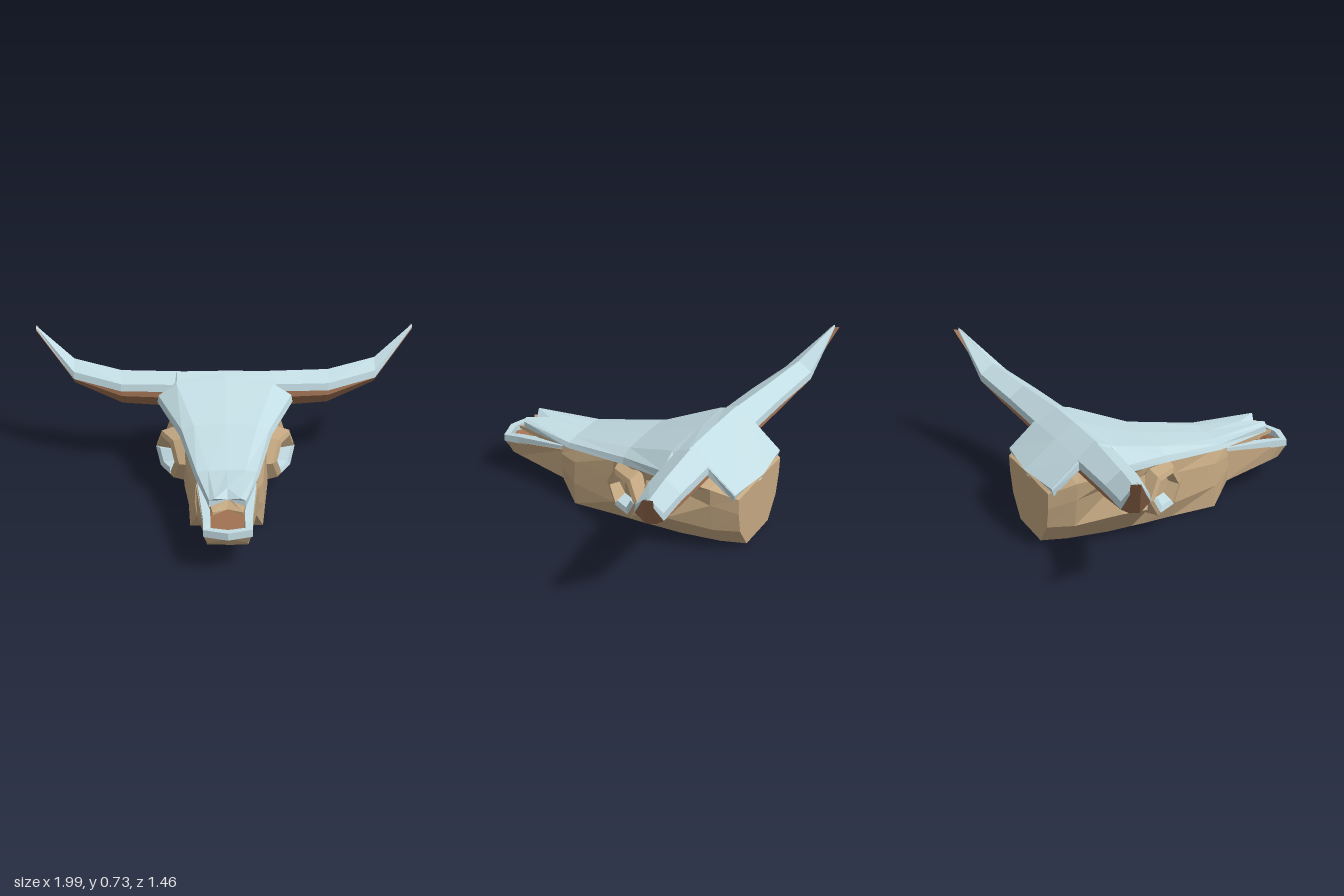
import * as THREE from 'three';

const bone = new THREE.MeshStandardMaterial({ name: 'bone', color: 0xc4a882 });
const horn = new THREE.MeshStandardMaterial({ name: 'horn brown', color: 0x9e7052 });
const snow = new THREE.MeshStandardMaterial({ name: 'pale snow', color: 0xc2dce3 });

// Faceted skin through closed rings of equal length, capped at both ends, facing outwards
function loft(name, rings, material) {
  const tris = [];
  const n = rings[0].length;
  for (let i = 0; i < rings.length - 1; i++) {
    for (let j = 0; j < n; j++) {
      const k = (j + 1) % n;
      const a = rings[i][j], b = rings[i][k], c = rings[i + 1][k], d = rings[i + 1][j];
      tris.push([a, b, c], [a, c, d]);
    }
  }
  const cap = (ring, flip) => {
    const mid = [0, 1, 2].map(q => ring.reduce((s, p) => s + p[q], 0) / n);
    ring.forEach((p, j) => {
      const next = ring[(j + 1) % n];
      tris.push(flip ? [mid, next, p] : [mid, p, next]);
    });
  };
  cap(rings[0], true);
  cap(rings[rings.length - 1], false);
  // Signed volume decides the winding
  const A = new THREE.Vector3(), B = new THREE.Vector3(), C = new THREE.Vector3();
  let volume = 0;
  for (const [a, b, c] of tris) volume += A.set(...a).dot(B.set(...b).cross(C.set(...c)));
  const flat = tris.flatMap(([a, b, c]) => (volume < 0 ? [a, c, b] : [a, b, c])).flat();
  const geometry = new THREE.BufferGeometry();
  geometry.setAttribute('position', new THREE.Float32BufferAttribute(flat, 3));
  geometry.computeVertexNormals();
  const mesh = new THREE.Mesh(geometry, material);
  mesh.name = name;
  return mesh;
}

// Half outline from top centre to bottom centre, mirrored to a full ring at depth z
function section(z, ...half) {
  const right = half.map(([x, y, pz = z]) => [x, y, pz]);
  const left = right.slice(1, -1).reverse().map(([x, y, pz]) => [-x, y, pz]);
  return [...right, ...left];
}

function eyeSocket(side) {
  const group = new THREE.Group();
  group.name = side > 0 ? 'leftEyeSocket' : 'rightEyeSocket';
  // Point on the tilted hexagonal opening
  const point = (angle, r, inset) => {
    const z = -0.125 + r * Math.cos(angle);
    return [side * (0.305 - 0.5 * (z + 0.125) - inset), 0.228 + r * Math.sin(angle), z];
  };
  const hex = (r, inset) => Array.from({ length: 6 }, (_, i) => point(i * Math.PI / 3, r, inset));
  group.add(loft('orbit', [hex(0.15, 0.12), hex(0.12, 0.01), hex(0.092, 0), hex(0.06, 0.075)], bone));
  // Snow lying on the lower and rear rim
  const ledge = [5, 4, 3].map(i => {
    const a = i * Math.PI / 3;
    return [point(a, 0.1, -0.004), point(a, 0.07, 0.004), point(a, 0.055, 0.07), point(a, 0.09, 0.07)];
  });
  group.add(loft('socketSnow', ledge, snow));
  return group;
}

function hornPart(side) {
  const group = new THREE.Group();
  group.name = side > 0 ? 'leftHorn' : 'rightHorn';
  // x, front / crest / back z, front / crest / back y, lowest y
  const stations = [
    [0.2, -0.38, -0.46, -0.56, 0.5, 0.543, 0.475, 0.35],
    [0.54, -0.405, -0.49, -0.57, 0.495, 0.54, 0.485, 0.363],
    [0.79, -0.48, -0.55, -0.62, 0.535, 0.583, 0.535, 0.455],
    [0.995, -0.645, -0.65, -0.653, 0.725, 0.73, 0.725, 0.712],
  ];
  const core = stations.map(([x, zf, zc, zb, yf, yc, yb, low]) => [
    [x, yf - 0.01, zf - 0.006], [x, (yf + low) / 2, zf + 0.002], [x, low, zc + 0.02],
    [x, low + 0.012, zc - 0.03], [x, (yb + low) / 2, zb], [x, yb - 0.012, zb + 0.005],
  ].map(([px, y, z]) => [side * px, y, z]));
  const cap = stations.map(([x, zf, zc, zb, yf, yc, yb], i) => {
    const t = i === 3 ? 0.008 : 0.038;
    return [
      [x, yf, zf], [x, yc, zc], [x, yb, zb], [x, yb - t, zb - 0.002], [x, yf - t, zf + 0.006],
    ].map(([px, y, z]) => [side * px, y, z]);
  });
  group.add(loft('hornCore', core, horn), loft('hornSnow', cap, snow));
  return group;
}

export function createModel() {
  const model = new THREE.Group();
  model.name = 'snowySkull';

  // Skull, from the nape to the muzzle
  model.add(loft('cranium', [
    section(-0.712, [0, 0.335], [0.23, 0.33], [0.225, 0.25], [0.2, 0.14], [0.12, 0.03], [0, 0.03]),
    section(-0.59, [0, 0.41], [0.29, 0.38], [0.28, 0.29], [0.25, 0.14], [0.16, 0.028], [0, 0.028]),
    section(-0.38, [0, 0.42], [0.33, 0.41], [0.28, 0.33], [0.33, 0.185], [0.17, 0.012], [0, 0.012]),
    section(-0.25, [0, 0.4], [0.29, 0.375], [0.28, 0.33], [0.34, 0.18], [0.17, 0.008], [0, 0.008]),
    section(-0.18, [0, 0.38], [0.26, 0.36], [0.22, 0.31], [0.22, 0.15], [0.17, 0.005], [0, 0.005]),
    section(-0.02, [0, 0.34], [0.2, 0.335], [0.205, 0.26], [0.21, 0.1], [0.17, 0.003], [0, 0.003]),
    section(0.22, [0, 0.31], [0.155, 0.305], [0.178, 0.24], [0.185, 0.12], [0.18, 0.001], [0, 0.001]),
    section(0.31, [0, 0.3], [0.14, 0.305], [0.152, 0.25], [0.155, 0.18], [0.145, 0.105], [0, 0.105]),
  ], bone));

  // Hollow muzzle with its brown floor
  model.add(loft('muzzle', [
    section(0.3, [0, 0.19], [0.09, 0.19], [0.09, 0.275], [0.15, 0.275], [0.145, 0.105], [0, 0.105]),
    section(0.6, [0, 0.16], [0.076, 0.16], [0.08, 0.217], [0.115, 0.217], [0.1, 0.133], [0, 0.133]),
    section(0.65, [0, 0.165], [0.074, 0.165], [0.08, 0.207], [0.113, 0.207], [0.095, 0.14], [0, 0.138]),
    section(0.69, [0, 0.205, 0.715], [0.05, 0.205, 0.7], [0.08, 0.205], [0.111, 0.205],
      [0.09, 0.16, 0.67], [0, 0.142, 0.66]),
  ], bone));
  model.add(loft('nasalFloor', [
    section(0.318, [0, 0.285], [0.088, 0.285], [0.088, 0.189], [0, 0.189]),
    section(0.323, [0, 0.199], [0.088, 0.199], [0.088, 0.188], [0, 0.188]),
    section(0.65, [0, 0.172], [0.077, 0.172], [0.077, 0.162], [0, 0.162]),
    section(0.688, [0, 0.209, 0.692], [0.079, 0.209, 0.684], [0.079, 0.202, 0.684], [0, 0.202, 0.692]),
  ], horn));

  // Snow around the muzzle rim: outer x, z, inner x, z, top, bottom
  const rimHalf = [
    [0.143, 0.31, 0.09, 0.31, 0.29, 0.262],
    [0.115, 0.6, 0.08, 0.6, 0.25, 0.212],
    [0.113, 0.69, 0.08, 0.67, 0.238, 0.202],
    [0, 0.725, 0, 0.69, 0.238, 0.202],
  ];
  const rimRing = ([xo, zo, xi, zi, top, bottom], s) => [
    [s * xo, top, zo], [s * xi, top, zi], [s * xi, bottom, zi], [s * xo, bottom, zo],
  ];
  model.add(loft('muzzleSnow', [
    ...rimHalf.map(p => rimRing(p, 1)),
    ...rimHalf.slice(0, -1).reverse().map(p => rimRing(p, -1)),
  ], snow));

  // Forked nasal bone under the snow
  model.add(loft('nasalBone', [
    section(0.28, [0, 0.305], [0.14, 0.305], [0.14, 0.262], [0, 0.262]),
    section(0.48, [0, 0.308, 0.49], [0.095, 0.305], [0.095, 0.266], [0, 0.28]),
    section(0.62, [0, 0.3, 0.5], [0.07, 0.29], [0.07, 0.275], [0, 0.28, 0.5]),
  ], bone));

  // Snow sheet over nose, brow and nape
  model.add(loft('headSnow', [
    section(0.58, [0, 0.345, 0.48], [0.06, 0.343, 0.585], [0.085, 0.33], [0.085, 0.298], [0, 0.3, 0.48]),
    section(0.27, [0, 0.332], [0.09, 0.33], [0.145, 0.322], [0.155, 0.296], [0, 0.29]),
    section(-0.09, [0, 0.408], [0.16, 0.402], [0.222, 0.378], [0.232, 0.345], [0, 0.34]),
    section(-0.37, [0, 0.515], [0.25, 0.508], [0.345, 0.445], [0.352, 0.408], [0, 0.4]),
    section(-0.395, [0, 0.525], [0.25, 0.515], [0.28, 0.48], [0.28, 0.43], [0, 0.41]),
    section(-0.46, [0, 0.546], [0.25, 0.543], [0.258, 0.535], [0.258, 0.46], [0, 0.42]),
    section(-0.56, [0, 0.483], [0.25, 0.476], [0.255, 0.47], [0.255, 0.43], [0, 0.4]),
    section(-0.7, [0, 0.36, -0.73], [0.247, 0.362], [0.25, 0.355], [0.245, 0.322, -0.69], [0, 0.325, -0.715]),
  ], snow));

  for (const side of [1, -1]) model.add(eyeSocket(side), hornPart(side));
  return model;
}
